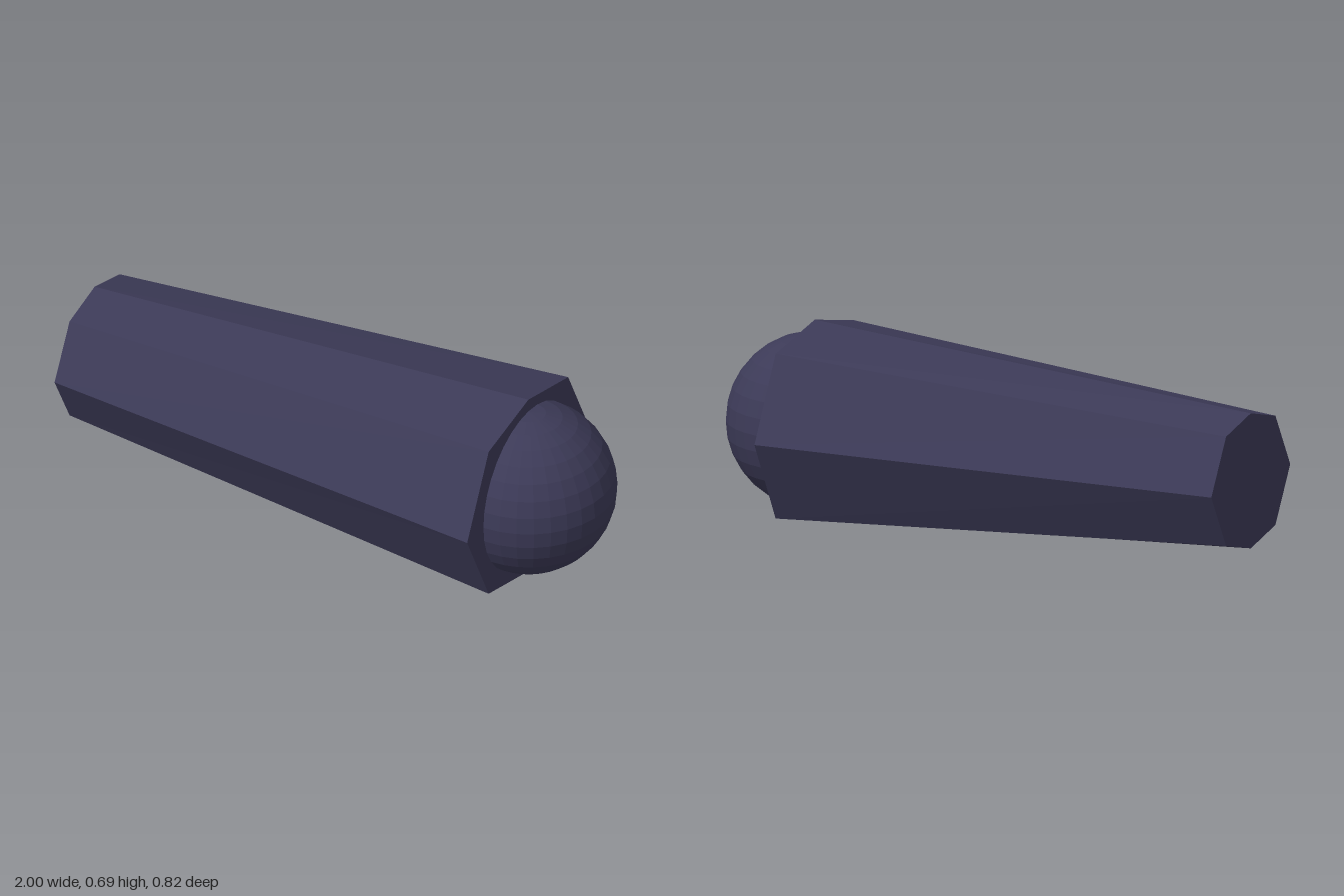
import * as THREE from 'three';

const AXIS_Y = 0.348;

// Eight-sided cross-section, mirrored from one quarter: side, corner and top
function ring(x, side, cornerZ, cornerY, top) {
  return [
    [side, 0], [cornerZ, cornerY], [0, top], [-cornerZ, cornerY],
    [-side, 0], [-cornerZ, -cornerY], [0, -top], [cornerZ, -cornerY],
  ].map(([z, y]) => [x, y, z]);
}

// Closed, tapered prism between two rings
function taperedPrism(left, right) {
  const n = left.length;
  const positions = [...left, ...right, [left[0][0], 0, 0], [right[0][0], 0, 0]].flat();
  const index = [];
  for (let i = 0; i < n; i++) {
    const j = (i + 1) % n;
    index.push(i, n + i, n + j, i, n + j, j); // side
    index.push(2 * n, i, j); // narrow end cap
    index.push(2 * n + 1, n + j, n + i); // wide end cap
  }
  const indexed = new THREE.BufferGeometry();
  indexed.setAttribute('position', new THREE.Float32BufferAttribute(positions, 3));
  indexed.setIndex(index);
  const geometry = indexed.toNonIndexed();
  geometry.computeVertexNormals();
  return geometry;
}

export function createModel() {
  const model = new THREE.Group();
  model.name = 'taperedBarrelWithBall';

  const slate = new THREE.MeshStandardMaterial({ color: 0x3c3a57, flatShading: true });
  slate.name = 'dark slate violet';

  // Barrel widening towards +x
  const barrel = new THREE.Mesh(
    taperedPrism(
      ring(-1, 0.267, 0.167, 0.19, 0.235),
      ring(0.697, 0.408, 0.265, 0.287, 0.347),
    ),
    slate,
  );
  barrel.name = 'barrel';
  barrel.position.y = AXIS_Y;
  model.add(barrel);

  // Faceted ball set halfway into the wide end
  const ball = new THREE.Mesh(new THREE.SphereGeometry(0.3, 32, 16), slate);
  ball.name = 'ball';
  ball.position.set(0.698, AXIS_Y, 0);
  model.add(ball);

  return model;
}
